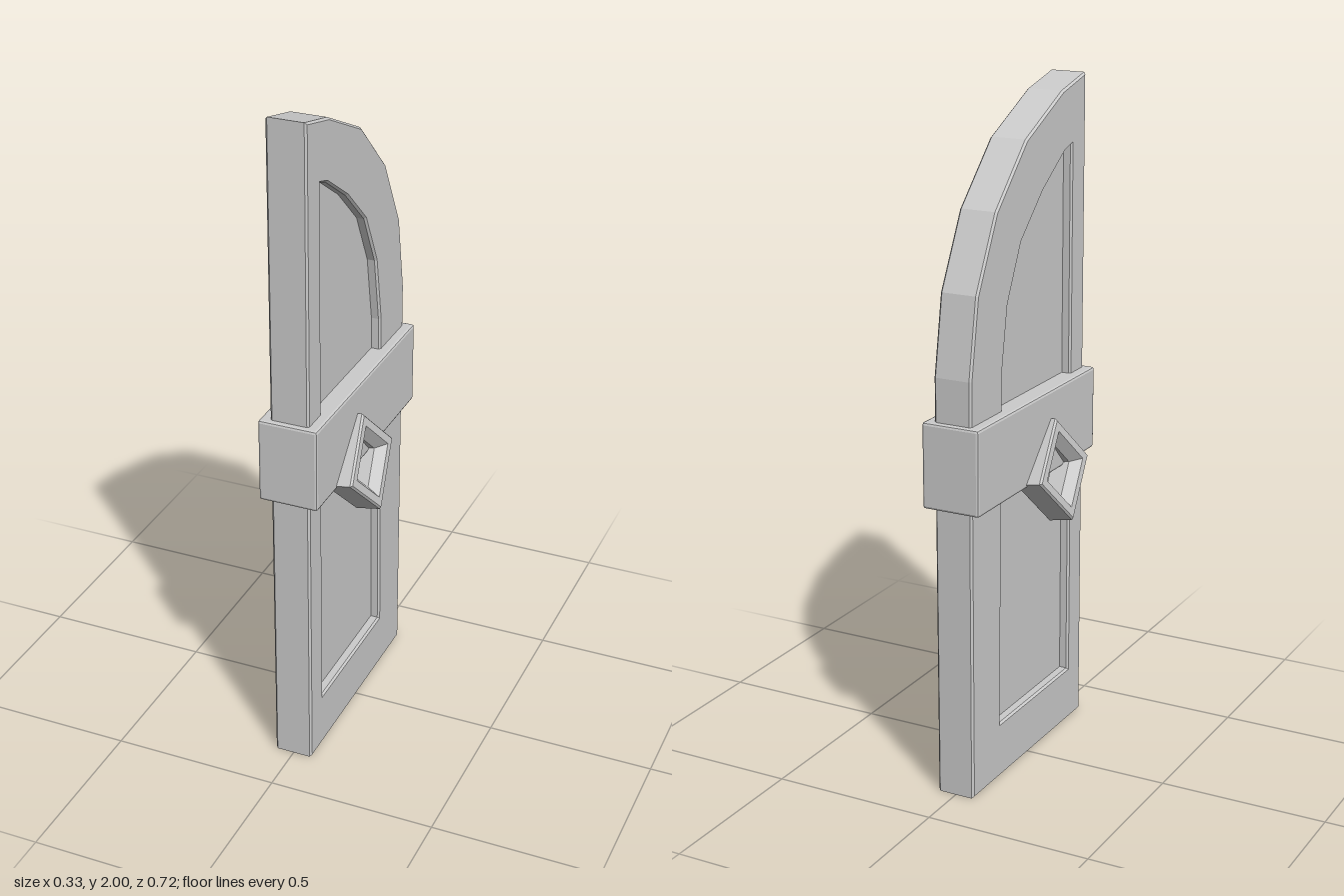
import * as THREE from 'three';
import { RoundedBoxGeometry } from 'three/addons/geometries/RoundedBoxGeometry.js';

// Profiles as [z, y]
const OUTER = [[0.345, 0], [0.345, 2], [0.2, 1.965], [-0.02, 1.86], [-0.195, 1.69],
  [-0.305, 1.48], [-0.345, 1.25], [-0.345, 0]];
const INNER = [[0.26, 0.17], [0.26, 1.805], [0.215, 1.79], [0.08, 1.7], [-0.05, 1.58],
  [-0.13, 1.42], [-0.165, 1.22], [-0.168, 0.9], [-0.18, 0.17]];

const toVectors = (pts) => pts.map(([z, y]) => new THREE.Vector2(z, y));

// Extrude a z-y profile to a given thickness centred on x = 0
function slab(shape, thickness, bevel) {
  const geo = new THREE.ExtrudeGeometry(shape, {
    depth: thickness - 2 * bevel, bevelEnabled: bevel > 0, bevelSegments: 1,
    bevelSize: bevel, bevelThickness: bevel, bevelOffset: -bevel,
  });
  geo.translate(0, 0, -thickness / 2 + bevel);
  geo.rotateY(-Math.PI / 2);
  return geo;
}

export function createModel() {
  const model = new THREE.Group();
  model.name = 'archedDoor';
  const material = new THREE.MeshStandardMaterial({ color: 0xcccccc, flatShading: true });
  const add = (name, geo, parent = model) => {
    const mesh = new THREE.Mesh(geo, material);
    mesh.name = name;
    parent.add(mesh);
    return mesh;
  };

  // Arched frame with an opening
  const frame = new THREE.Shape(toVectors(OUTER));
  frame.holes.push(new THREE.Path(toVectors(INNER)));
  add('doorFrame', slab(frame, 0.116, 0.006));

  // Recessed panel, slightly oversized so it tucks into the frame
  const grown = INNER.map(([z, y]) => [0.04 + (z - 0.04) * 1.08, 0.99 + (y - 0.99) * 1.03]);
  add('doorPanel', slab(new THREE.Shape(toVectors(grown)), 0.06, 0));

  // Cross band wrapping the door
  const band = add('crossBand', new RoundedBoxGeometry(0.178, 0.252, 0.724, 1, 0.008));
  band.position.y = 0.996;

  // Diamond-shaped handle rings, one per side, tilted outward at the bottom
  const profile = [[0.083, -0.043], [0.147, -0.043], [0.154, -0.037], [0.154, 0.037],
    [0.147, 0.043], [0.115, 0.043], [0.083, 0.013], [0.083, -0.043]];
  const ring = new THREE.LatheGeometry(toVectors(profile), 4);
  ring.rotateZ(-Math.PI / 2 + THREE.MathUtils.degToRad(10.7));
  for (const side of [1, -1]) {
    const handle = add(side > 0 ? 'leftHandle' : 'rightHandle', ring);
    handle.position.set(side * 0.094, 0.882, 0.075);
    handle.rotation.y = side > 0 ? 0 : Math.PI;
  }
  return model;
}
